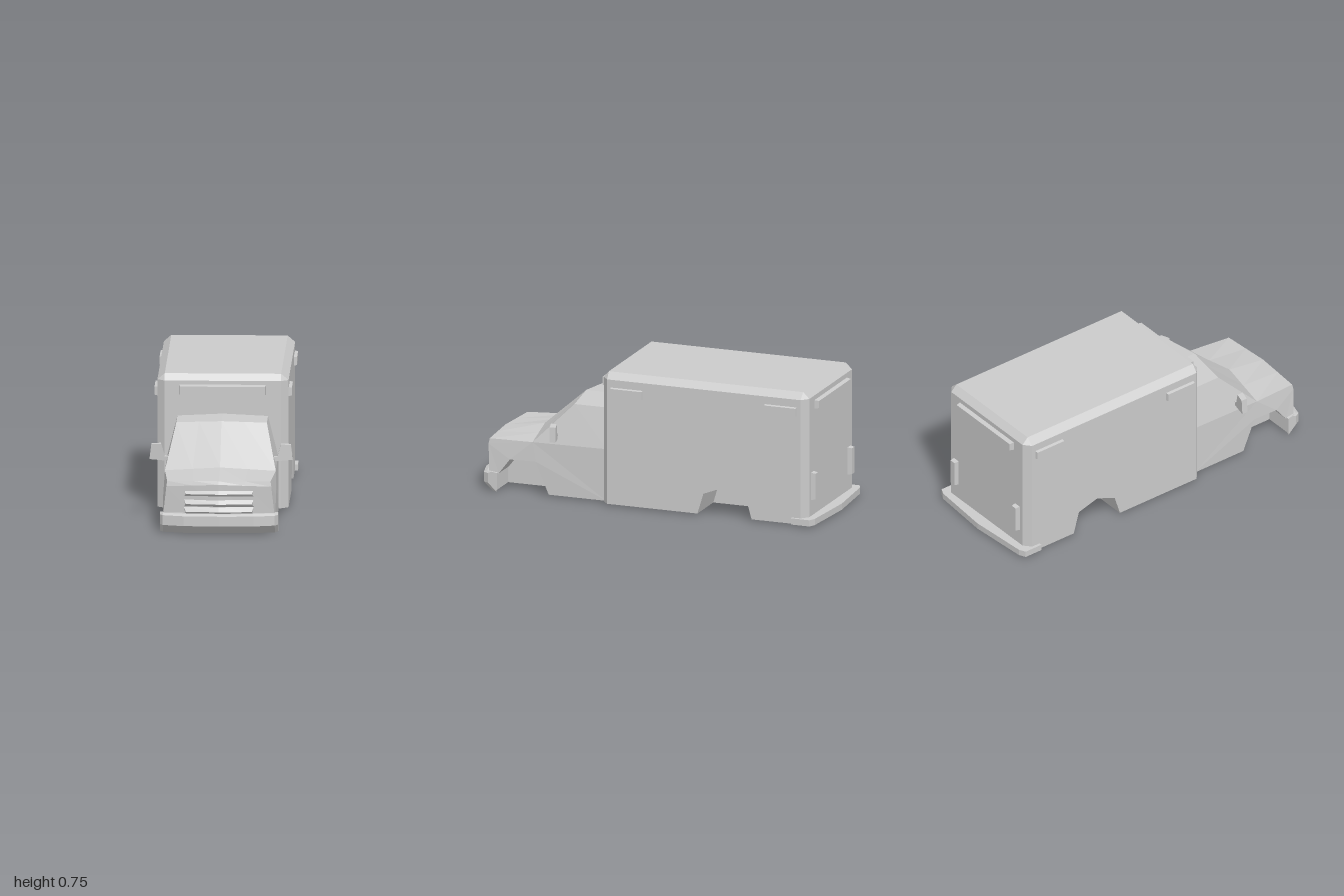
import * as THREE from 'three';

const material = new THREE.MeshStandardMaterial({ color: 0xcccccc, flatShading: true });

// Skin between rings of [x, y, z] points ordered from -x to +x; caps list the corner indices of the end faces
function loft(rings, caps) {
  const out = [];
  const n = rings[0].length;
  const tri = (a, b, c) => {
    const [A, B, C] = [a, b, c].map(p => new THREE.Vector3(...p));
    if (B.clone().sub(A).cross(C.clone().sub(A)).length() > 1e-8) out.push(...a, ...b, ...c);
  };
  for (let r = 0; r < rings.length - 1; r++) {
    const a = rings[r], b = rings[r + 1];
    for (let i = 0; i < n; i++) {
      const j = (i + 1) % n;
      tri(a[i], a[j], b[j]);
      tri(a[i], b[j], b[i]);
    }
  }
  for (const [ring, side] of [[rings[0], -1], [rings[rings.length - 1], 1]]) {
    for (const cap of caps) {
      const flat = cap.map(i => new THREE.Vector2(-ring[i][2], ring[i][1]));
      for (const [i, j, k] of THREE.ShapeUtils.triangulateShape(flat.slice(), [])) {
        const ccw = THREE.ShapeUtils.area([flat[i], flat[j], flat[k]]) > 0;
        const [p, q, s] = [i, j, k].map(v => ring[cap[v]]);
        if (ccw === (side > 0)) tri(p, q, s); else tri(p, s, q);
      }
    }
  }
  const g = new THREE.BufferGeometry();
  g.setAttribute('position', new THREE.Float32BufferAttribute(out, 3));
  g.computeVertexNormals();
  return g;
}

// Turn a [z, y] profile into a ring at x
const ringAt = (x, profile) => profile.map(([z, y]) => [x, y, z]);

// Complete half of the rings (centre outwards) with their mirror images
const mirrored = half => [
  ...half.slice().reverse().map(r => r.map(([x, y, z]) => [-x, y, z])),
  ...half,
];

// Lamp housing that narrows toward its outer face (+z)
function lampGeometry(w, h, d) {
  const g = new THREE.BoxGeometry(w, h, d);
  const p = g.attributes.position;
  for (let i = 0; i < p.count; i++) {
    if (p.getZ(i) > 0) {
      p.setX(i, p.getX(i) * (1 - 0.01 / w));
      p.setY(i, p.getY(i) * (1 - 0.01 / h));
    }
  }
  g.computeVertexNormals();
  return g;
}

export function createModel() {
  const model = new THREE.Group();
  const add = (name, geometry, x = 0, y = 0, z = 0, turn = 0) => {
    const mesh = new THREE.Mesh(geometry, material);
    mesh.name = name;
    mesh.position.set(x, y, z);
    mesh.rotation.y = turn;
    model.add(mesh);
  };

  // Rear body: chamfered box with a wheel well in each side
  const arch = [[-0.30, 0.01], [-0.335, 0.125], [-0.455, 0.172], [-0.58, 0.135], [-0.615, 0.01]];
  const flatArch = arch.map(([z]) => [z, 0.01]);
  const shell = [[-0.935, 0.01], [-0.935, 0.71], [-0.90, 0.745], [0.23, 0.745], [0.26, 0.71], [0.26, 0.01]];
  const side = [[-0.90, 0.01], [-0.90, 0.71], [-0.90, 0.71], [0.225, 0.71], [0.225, 0.71], [0.225, 0.01]];
  add('body', loft(mirrored([
    ringAt(0.12, [...shell, ...flatArch]),
    ringAt(0.12, [...shell, ...arch]),
    ringAt(0.315, [...shell, ...arch]),
    ringAt(0.355, [...side, ...arch]),
  ]), [[0, 1, 4, 5, 6, 7, 8, 9, 10]]));

  // Cab: centre line and outer outline, with front wheel wells
  const centre = [
    [0, 0.01, 0.25], [0, 0.30, 0.25], [0, 0.53, 0.25], [0, 0.53, 0.485], [0, 0.32, 0.725],
    [0, 0.287, 0.955], [0, 0.268, 0.962], [0, 0.11, 0.957],
    [0, 0.01, 0.875], [0, 0.01, 0.81], [0, 0.01, 0.66], [0, 0.01, 0.585],
  ];
  const outer = [
    [0.303, 0.01, 0.25], [0.30, 0.30, 0.25], [0.245, 0.518, 0.25], [0.245, 0.518, 0.458], [0.30, 0.295, 0.68],
    [0.28, 0.285, 0.937], [0.284, 0.256, 0.942], [0.30, 0.11, 0.932],
    [0.305, 0.10, 0.875], [0.305, 0.185, 0.81], [0.305, 0.188, 0.66], [0.303, 0.01, 0.585],
  ];
  const inner = centre.map((c, i) => c.map((v, k) => (v + outer[i][k]) / 2));
  const isWell = i => i >= 8 && i <= 10;
  const innerFlat = inner.map((p, i) => (isWell(i) ? [p[0], 0.01, p[2]] : p));
  const innerWell = inner.map((p, i) => (isWell(i) ? [p[0], outer[i][1], p[2]] : p));
  add('cab', loft(mirrored([centre, innerFlat, innerWell, outer]),
    [[1, 2, 3, 4], [0, 1, 4, 5, 6, 7, 8, 9, 10, 11]]));

  // Grille slats: wedges that follow the bent nose
  for (const y of [0.215, 0.16, 0.118]) {
    const slat = (x, z) => [
      [x, y - 0.015, z - 0.03], [x, y + 0.028, z - 0.03], [x, y + 0.028, z],
      [x * 0.94, y, z + 0.012], [x, y - 0.015, z],
    ];
    add('grilleSlat', loft([slat(-0.19, 0.943), slat(0, 0.957), slat(0.19, 0.943)], [[0, 1, 2, 3, 4]]));
  }

  // Front bumper wrapping around the nose
  const bumper = (x, z) => ringAt(x, [
    [0.88, 0.01], [0.88, 0.105], [z - 0.02, 0.11], [z, 0.10], [z, 0.046], [z - 0.05, 0],
  ]);
  add('frontBumper', loft(mirrored([
    bumper(0, 1), bumper(0.19, 0.993), bumper(0.303, 0.962), bumper(0.32, 0.932),
  ]), [[0, 1, 2, 3, 4, 5]]));

  // Rear step, slightly pointed in plan
  const step = (x, z) => ringAt(x, [[z, 0.01], [z, 0.045], [-0.85, 0.045], [-0.85, 0.01]]);
  add('rearStep', loft(mirrored([step(0, -1), step(0.335, -0.975), step(0.372, -0.957)]), [[0, 1, 2, 3]]));

  // Wing mirrors, swept back toward the tip
  const outline = [[0.285, 0.35], [0.295, 0.327], [0.388, 0.331], [0.378, 0.413], [0.325, 0.418], [0.305, 0.35]];
  for (const s of [-1, 1]) {
    const g = new THREE.ExtrudeGeometry(
      new THREE.Shape(outline.map(([x, y]) => new THREE.Vector2(s * x, y))),
      { depth: 0.035, bevelEnabled: false });
    const p = g.attributes.position;
    for (let i = 0; i < p.count; i++) {
      p.setZ(i, p.getZ(i) + 0.535 - (Math.abs(p.getX(i)) - 0.3) * 0.25);
    }
    g.computeVertexNormals();
    add(s > 0 ? 'leftMirror' : 'rightMirror', g);
  }

  // Warning lamps
  add('frontLightBar', lampGeometry(0.47, 0.055, 0.045), 0, 0.662, 0.278);
  add('rearLightBar', lampGeometry(0.48, 0.05, 0.035), 0, 0.66, -0.943, Math.PI);
  for (const s of [-1, 1]) {
    for (const z of [0.11, -0.785]) {
      add('sideLight', lampGeometry(0.19, 0.053, 0.027), s * 0.3585, 0.642, z, s * Math.PI / 2);
    }
    add('tailLight', lampGeometry(0.045, 0.155, 0.035), s * 0.27, 0.212, -0.943, Math.PI);
  }
  return model;
}
